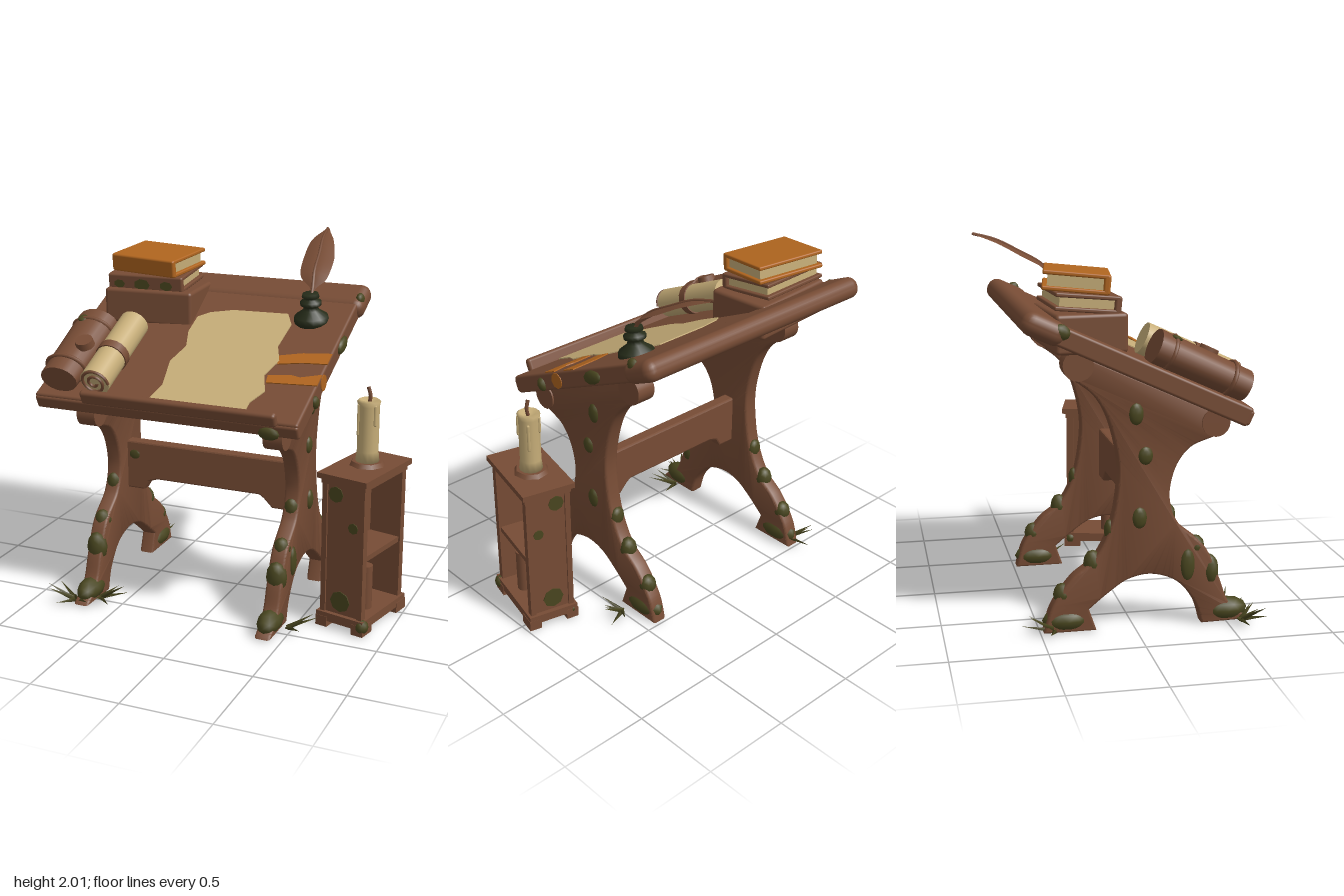
import * as THREE from 'three';
import { toCreasedNormals } from 'three/addons/utils/BufferGeometryUtils.js';
import { RoundedBoxGeometry } from 'three/addons/geometries/RoundedBoxGeometry.js';

const material = (name, color, side = THREE.FrontSide) =>
  Object.assign(new THREE.MeshStandardMaterial({ color, side }), { name });
const wood = material('brown wood', 0x774c35);
const cream = material('cream paper', 0xc6ad78);
const orange = material('orange leather', 0xb0651f);
const moss = material('olive moss', 0x49461f);
const ink = material('dark green glass', 0x262c19);
const feather = material('brown feather', 0x774c35, THREE.DoubleSide);

function add(parent, name, geometry, mat, x = 0, y = 0, z = 0) {
  const m = new THREE.Mesh(geometry, mat);
  m.name = name;
  m.position.set(x, y, z);
  parent.add(m);
  return m;
}
function group(parent, name, x = 0, y = 0, z = 0) {
  const g = new THREE.Group();
  g.name = name;
  g.position.set(x, y, z);
  parent.add(g);
  return g;
}
const box = (w, h, d) => new THREE.BoxGeometry(w, h, d);
const rbox = (w, h, d, r = 0.02) => new RoundedBoxGeometry(w, h, d, 3, r);
const cyl = (r1, r2, h, n = 20) => new THREE.CylinderGeometry(r1, r2, h, n);
const v2 = (pts) => pts.map(([a, b]) => new THREE.Vector2(a, b));

// flattened lump of moss
function lump(parent, x, y, z, sx, sy, sz) {
  add(parent, 'mossPatch', new THREE.IcosahedronGeometry(1, 1), moss, x, y, z).scale.set(sx, sy, sz);
}
// thin sheet lying on a surface, outlined by x,z points
function sheet(parent, name, pts, mat) {
  const g = new THREE.ExtrudeGeometry(new THREE.Shape(v2(pts.map(([x, z]) => [x, -z]))),
    { depth: 0.006, bevelEnabled: false });
  return add(parent, name, g.rotateX(-Math.PI / 2), mat);
}

// trestle side: a curved profile in the z,y plane
function trestle(root, x) {
  const g = group(root, 'trestleLeg', x, 0, 0);
  const s = new THREE.Shape();
  s.moveTo(0.42, 1.13);
  s.lineTo(0.4, 1.02);
  s.splineThru(v2([[0.28, 0.97], [0.2, 0.86], [0.17, 0.7], [0.22, 0.55], [0.36, 0.42],
    [0.44, 0.25], [0.5, 0.1], [0.61, 0.01]]));
  s.lineTo(0.37, 0.01);
  s.splineThru(v2([[0.33, 0.13], [0.23, 0.25], [0.09, 0.3], [-0.04, 0.28], [-0.15, 0.21], [-0.26, 0.12]]));
  s.lineTo(-0.22, 0.01);
  s.lineTo(-0.47, 0.01);
  s.splineThru(v2([[-0.43, 0.14], [-0.33, 0.28], [-0.21, 0.38], [-0.13, 0.53], [-0.09, 0.7],
    [-0.08, 0.9], [-0.13, 1.12], [-0.21, 1.26], [-0.34, 1.36]]));
  s.lineTo(-0.33, 1.47);
  const geo = new THREE.ExtrudeGeometry(s, { depth: 0.06, curveSegments: 24, bevelThickness: 0.015,
    bevelSize: 0.012, bevelSegments: 2 });
  geo.translate(0, 0, -0.03).rotateY(-Math.PI / 2);
  add(g, 'curvedLeg', toCreasedNormals(geo, 0.8), wood);
  for (const [y, z, r] of [[1.41, -0.3, 0.08], [1.09, 0.42, 0.075]])
    add(g, 'legScroll', cyl(r, r, 0.11), wood, 0, y, z).rotation.z = Math.PI / 2;
  // mossy feet and overgrown patches
  for (const [z, r] of [[0.5, 0.12], [-0.36, 0.13]]) lump(g, 0, 0.06, z, 0.065, 0.065, r);
  const side = Math.sign(x);
  for (const [y, z, sx, sy, sz] of [[0.28, 0.41, 0.06, 0.09, 0.05], [0.42, 0.33, 0.05, 0.06, 0.05],
    [0.36, -0.22, 0.05, 0.07, 0.05], [0.53, -0.13, 0.045, 0.06, 0.03], [0.2, -0.38, 0.05, 0.06, 0.05],
    [0.6, 0.18, 0.045, 0.06, 0.04]]) lump(g, 0, y, z, sx, sy, sz);
  for (const [y, z, h] of [[0.33, 0.28, 0.09], [0.6, 0.02, 0.06], [0.93, 0.05, 0.05], [1.15, 0, 0.06]])
    lump(g, side * 0.042, y, z, 0.022, h, 0.04);
}

// closed book with its spine at +z
function book(parent, name, w, h, d, mat, y, turn, x, z) {
  const g = group(parent, name, x, y, z);
  g.rotation.set(0.09, turn, 0, 'XYZ');
  for (const s of [-1, 1]) add(g, 'cover', rbox(w, 0.022, d, 0.008), mat, 0, s * (h / 2 - 0.011), 0);
  add(g, 'pages', box(w - 0.04, h - 0.04, d - 0.04), cream, 0, 0, 0.005);
  add(g, 'spine', rbox(w, h, 0.035, 0.012), mat, 0, 0, d / 2 - 0.01);
  return g;
}

function desktop(root) {
  const g = group(root, 'slantedDesktop', 0, 1.455, 0);
  g.rotation.x = 0.43;
  add(g, 'board', rbox(1.54, 0.1, 1.2, 0.015), wood, -0.21, -0.05, 0.01);
  add(g, 'backRail', rbox(1.59, 0.12, 0.23, 0.055), wood, -0.205, -0.05, -0.53);
  add(g, 'frontEdge', rbox(1.54, 0.08, 0.04, 0.015), wood, -0.21, -0.052, 0.6);
  add(g, 'paperStop', rbox(1.13, 0.08, 0.045, 0.018), wood, -0.115, 0.025, 0.612);
  sheet(g, 'parchment', [[-0.32, -0.19], [-0.26, -0.24], [-0.13, -0.28], [0.2, -0.29], [0.25, -0.2],
    [0.24, 0], [0.29, 0.12], [0.25, 0.25], [0.3, 0.38], [0.25, 0.48], [0.25, 0.59], [-0.32, 0.59],
    [-0.28, 0.42], [-0.32, 0.22], [-0.28, 0.08], [-0.32, -0.05]], cream);
  sheet(g, 'upperStain', [[0.27, 0.08], [0.4, 0.04], [0.56, 0.02], [0.56, 0.11], [0.42, 0.12], [0.29, 0.15]], orange);
  sheet(g, 'lowerStain', [[0.27, 0.25], [0.4, 0.23], [0.45, 0.24], [0.56, 0.2], [0.56, 0.29], [0.28, 0.31]], orange);
  add(g, 'edgeStain', cyl(0.045, 0.045, 0.006, 9), orange, 0.561, -0.05, 0.2).rotation.z = Math.PI / 2;
  for (const [y, z, s] of [[-0.05, -0.13, 0.07], [-0.01, -0.5, 0.035], [-0.06, 0.35, 0.03]])
    lump(g, 0.56, y, z, 0.025, 0.04, s);
  lump(g, 0.4, -0.06, 0.63, 0.06, 0.04, 0.025);
  lump(g, -0.97, -0.03, -0.45, 0.03, 0.04, 0.05);

  // leather roll with clasp, and a paper scroll with its tie
  const roll = add(g, 'leatherRoll', cyl(0.11, 0.125, 0.52, 18), wood, -0.83, 0.08, 0.3);
  roll.rotation.x = Math.PI / 2;
  roll.scale.z = 0.75;
  for (const z of [0.12, 0.46]) {
    const strap = add(g, 'rollStrap', new THREE.TorusGeometry(0.12, 0.012, 6, 24), wood, -0.83, 0.08, z);
    strap.scale.y = 0.77;
  }
  add(g, 'clasp', cyl(0.05, 0.055, 0.04, 12), wood, -0.76, 0.165, 0.33);
  lump(g, -0.87, 0.165, 0.12, 0.03, 0.012, 0.03);
  add(g, 'paperScroll', cyl(0.085, 0.085, 0.53, 18), cream, -0.61, 0.085, 0.29).rotation.x = Math.PI / 2;
  add(g, 'scrollTie', cyl(0.092, 0.092, 0.05, 18), wood, -0.61, 0.085, 0.32).rotation.x = Math.PI / 2;
  const curl = Array.from({ length: 26 }, (_, i) => {
    const a = i * 0.5, r = 0.085 - i * 0.0028;
    return new THREE.Vector3(Math.cos(a) * r, Math.sin(a) * r, 0);
  });
  add(g, 'scrollCurl', new THREE.TubeGeometry(new THREE.CatmullRomCurve3(curl), 60, 0.009, 5), wood, -0.61, 0.085, 0.56);
}

function deskItems(root) {
  // book stand and stacked books
  const stand = add(root, 'bookStand', rbox(0.53, 0.2, 0.37, 0.02), wood, -0.61, 1.585, -0.27);
  stand.rotation.y = 0.08;
  const lower = book(root, 'lowerBook', 0.46, 0.09, 0.33, wood, 1.735, 0.05, -0.63, -0.28);
  for (const [x, w] of [[-0.16, 0.07], [-0.02, 0.1], [0.13, 0.08]])
    add(lower, 'spineMoss', new THREE.CircleGeometry(w / 2, 7), moss, x, -0.01, 0.174).scale.y = 0.7;
  book(root, 'upperBook', 0.43, 0.1, 0.33, orange, 1.832, -0.16, -0.615, -0.29);

  // inkwell
  const profile = v2([[0, 0], [0.08, 0], [0.1, 0.035], [0.095, 0.065], [0.045, 0.1], [0.04, 0.12],
    [0.06, 0.13], [0.06, 0.15], [0.035, 0.16], [0.035, 0.17], [0.05, 0.175], [0.045, 0.195], [0, 0.195]]);
  add(root, 'inkwell', new THREE.LatheGeometry(profile, 14), ink, 0.345, 1.525, -0.25).rotation.x = 0.15;

  // feather quill: a plane bent along a curve
  const path = new THREE.CatmullRomCurve3([[0.35, 1.67, -0.21], [0.345, 1.75, -0.26], [0.33, 1.82, -0.32],
    [0.31, 1.9, -0.46], [0.285, 1.965, -0.59], [0.27, 2, -0.72]].map((p) => new THREE.Vector3(...p)));
  const width = new THREE.SplineCurve(v2([[0, 0.01], [0.2, 0.012], [0.3, 0.07], [0.45, 0.09], [0.62, 0.085], [0.82, 0.06], [1, 0.012]]));
  const vane = new THREE.PlaneGeometry(2, 1, 4, 20);
  const p = vane.attributes.position;
  for (let i = 0; i < p.count; i++) {
    const t = p.getY(i) + 0.5, s = p.getX(i), c = path.getPoint(t), w = width.getPoint(t).y;
    p.setXYZ(i, c.x + s * w, c.y - s * s * w * 0.25, c.z);
  }
  vane.computeVertexNormals();
  add(root, 'quillVane', vane, feather);
  add(root, 'quillShaft', new THREE.TubeGeometry(path, 20, 0.009, 6), wood);
}

// side cabinet, open on both x sides
function cabinet(root) {
  const g = group(root, 'sideCabinet', 0.795, 0, 0.127);
  g.rotation.y = -0.23;
  add(g, 'top', box(0.302, 0.03, 0.489), wood, 0, 0.87, 0);
  add(g, 'topMoulding', box(0.27, 0.03, 0.45), wood, 0, 0.84, 0);
  add(g, 'base', box(0.29, 0.05, 0.47), wood, 0, 0.06, 0);
  add(g, 'shelf', box(0.24, 0.03, 0.4), wood, 0, 0.425, 0);
  add(g, 'innerPanel', box(0.02, 0.4, 0.4), wood, -0.07, 0.63, 0);
  for (const s of [-1, 1]) {
    add(g, 'endPanel', box(0.24, 0.76, 0.03), wood, 0, 0.46, s * 0.195);
    for (const t of [-1, 1]) {
      add(g, 'post', box(0.03, 0.76, 0.04), wood, t * 0.115, 0.46, s * 0.2);
      add(g, 'foot', box(0.07, 0.06, 0.1), wood, t * 0.113, 0.03, s * 0.187);
    }
  }
  for (const [x, y, w] of [[-0.05, 0.77, 0.045], [-0.01, 0.16, 0.06], [0.06, 0.6, 0.03]])
    for (const s of [-1, 1])
      add(g, 'panelMoss', cyl(w, w, 0.006, 8), moss, x, y, s * 0.212).rotation.x = Math.PI / 2;
  lump(g, 0.13, 0.05, 0.21, 0.035, 0.04, 0.04);
  lump(g, -0.12, 0.05, -0.2, 0.035, 0.04, 0.04);

  // jars on the shelf, rolls below
  for (const [z, h, mat] of [[0.015, 0.18, orange], [-0.055, 0.16, orange], [0.125, 0.13, cream], [0.165, 0.16, moss]])
    add(g, 'slimJar', new THREE.CapsuleGeometry(0.022, h, 4, 10), mat, -0.035, 0.47 + h / 2, z);
  for (const [x, z, h] of [[0.02, 0.1, 0.27], [-0.03, 0.03, 0.24], [0.05, 0.05, 0.25]])
    add(g, 'storedRoll', cyl(0.04, 0.04, h, 12), wood, x, 0.085 + h / 2, z);

  // candle
  add(g, 'candleDish', cyl(0.085, 0.1, 0.025, 8), wood, 0, 0.895, -0.02);
  add(g, 'candle', new THREE.LatheGeometry(v2([[0, 0], [0.065, 0], [0.058, 0.06], [0.058, 0.31],
    [0.064, 0.335], [0.05, 0.345], [0.03, 0.325], [0, 0.325]]), 12), cream, 0, 0.905, -0.02);
  for (const [a, y, l] of [[0.4, 1.17, 0.1], [2.2, 1.14, 0.16], [3.9, 1.18, 0.08], [5.2, 1.12, 0.14]])
    add(g, 'waxDrip', new THREE.CapsuleGeometry(0.009, l, 3, 6), cream, Math.cos(a) * 0.058, y, Math.sin(a) * 0.058 - 0.02);
  const wick = new THREE.CatmullRomCurve3([[0, 1.22, -0.02], [0.008, 1.27, -0.02], [-0.004, 1.32, -0.015]]
    .map((q) => new THREE.Vector3(...q)));
  add(g, 'wick', new THREE.TubeGeometry(wick, 8, 0.01, 6), wood);
}

// fan of low grass blades
function grass(root, x, z, heading, n = 6) {
  const g = group(root, 'grassTuft', x, 0.01, z);
  for (let i = 0; i < n; i++) {
    const h = 0.1 + 0.09 * Math.abs(Math.sin(i * 2.7 + x));
    const blade = add(g, 'blade', new THREE.ConeGeometry(0.016, h, 3).translate(0, h / 2, 0), moss);
    blade.rotation.set(0, heading + (i - n / 2) * 0.42, -1.15 - 0.25 * Math.sin(i * 1.9));
  }
}

export function createModel() {
  const root = new THREE.Group();
  root.name = 'writingDesk';
  for (const x of [-0.7, 0.4]) trestle(root, x);

  // stretcher with dropped ends
  const s = new THREE.Shape(v2([[-0.67, 0.82], [-0.67, 0.55], [-0.56, 0.55], [-0.53, 0.6], [-0.47, 0.62],
    [0.17, 0.62], [0.2, 0.6], [0.25, 0.55], [0.36, 0.55], [0.36, 0.82]]));
  add(root, 'stretcher', new THREE.ExtrudeGeometry(s, { depth: 0.05, bevelThickness: 0.012, bevelSize: 0.01,
    bevelSegments: 2 }), wood, 0, 0, 0.03);
  lump(root, -0.61, 0.75, 0.09, 0.035, 0.03, 0.008);

  desktop(root);
  deskItems(root);
  cabinet(root);
  grass(root, -0.76, 0.57, -1.9, 8);
  grass(root, -0.64, 0.5, 0);
  grass(root, 0.48, 0.45, 0.1, 5);
  grass(root, 0.5, -0.28, 0.1);
  grass(root, -0.72, -0.42, 2.2, 5);
  return root;
}
